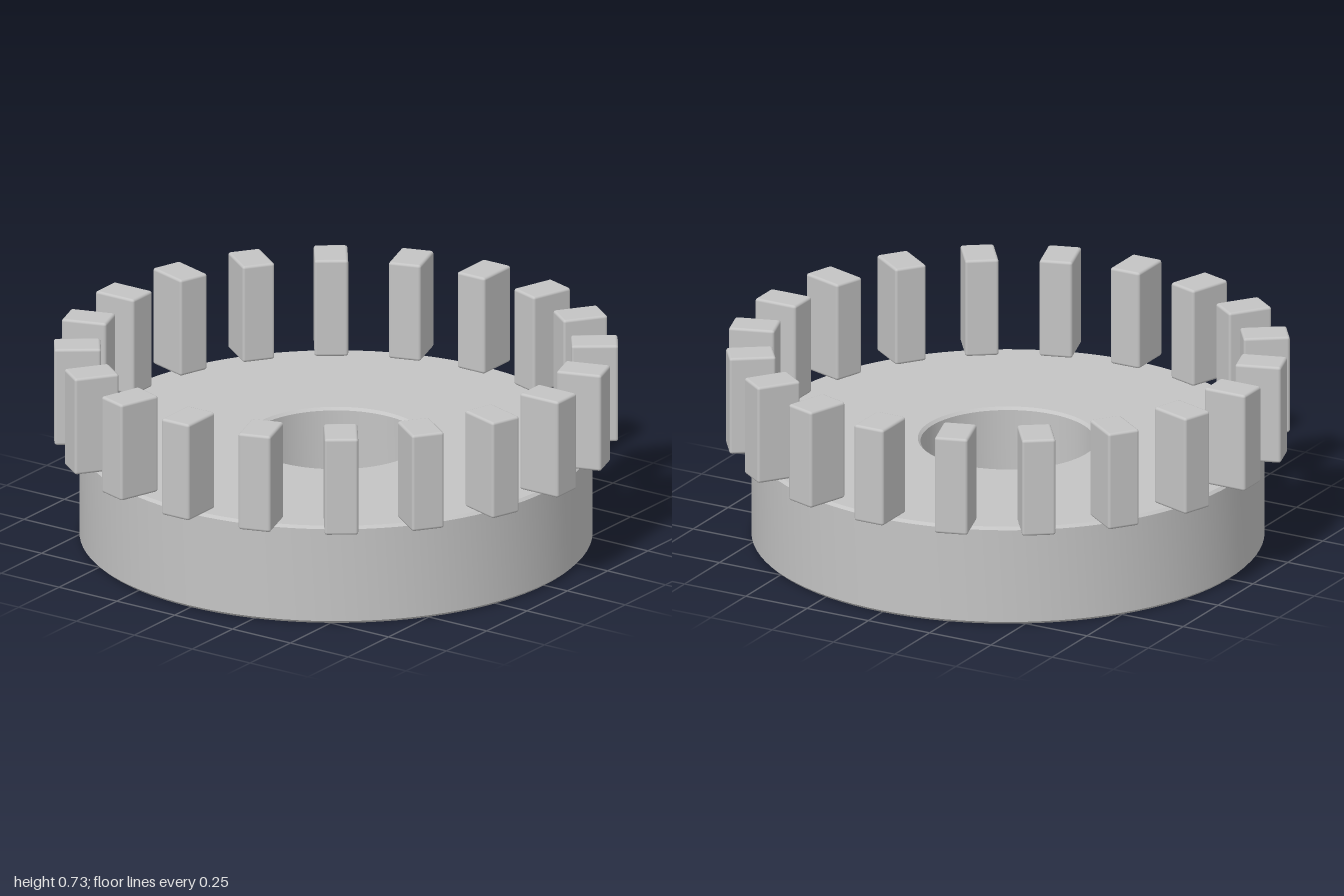
import * as THREE from 'three';
import { toCreasedNormals } from 'three/addons/utils/BufferGeometryUtils.js';
import { RoundedBoxGeometry } from 'three/addons/geometries/RoundedBoxGeometry.js';

const TOOTH_COUNT = 20;
const OUTER = 0.91, BORE = 0.31, DISC_HEIGHT = 0.367, BEVEL = 0.01;
const TOOTH = { width: 0.12, height: 0.363, depth: 0.166 };

export function createModel() {
  const model = new THREE.Group();
  model.name = 'crownGear';
  const steel = new THREE.MeshStandardMaterial({ color: 0xc4c4c4 });
  steel.name = 'light grey';

  // Disc with a central bore, its four rims slightly bevelled
  const profile = [
    [BORE + BEVEL, 0], [OUTER - BEVEL, 0],
    [OUTER, BEVEL], [OUTER, DISC_HEIGHT - BEVEL],
    [OUTER - BEVEL, DISC_HEIGHT], [BORE + BEVEL, DISC_HEIGHT],
    [BORE, DISC_HEIGHT - BEVEL], [BORE, BEVEL],
    [BORE + BEVEL, 0],
  ].map(([r, y]) => new THREE.Vector2(r, y));
  const disc = new THREE.Mesh(
    toCreasedNormals(new THREE.LatheGeometry(profile, 96), Math.PI / 6), steel);
  disc.name = 'disc';
  model.add(disc);

  // Upright teeth around the rim, overhanging the disc edge
  const toothGeometry = new RoundedBoxGeometry(
    TOOTH.width, TOOTH.height, TOOTH.depth, 2, BEVEL);
  const teeth = new THREE.Group();
  teeth.name = 'teeth';
  for (let i = 0; i < TOOTH_COUNT; i++) {
    const angle = (i / TOOTH_COUNT) * Math.PI * 2;
    const radius = 1 - TOOTH.depth / 2;
    const tooth = new THREE.Mesh(toothGeometry, steel);
    tooth.name = `tooth${i + 1}`;
    tooth.position.set(
      Math.sin(angle) * radius, DISC_HEIGHT + TOOTH.height / 2, Math.cos(angle) * radius);
    tooth.rotation.y = angle;
    teeth.add(tooth);
  }
  model.add(teeth);
  return model;
}
